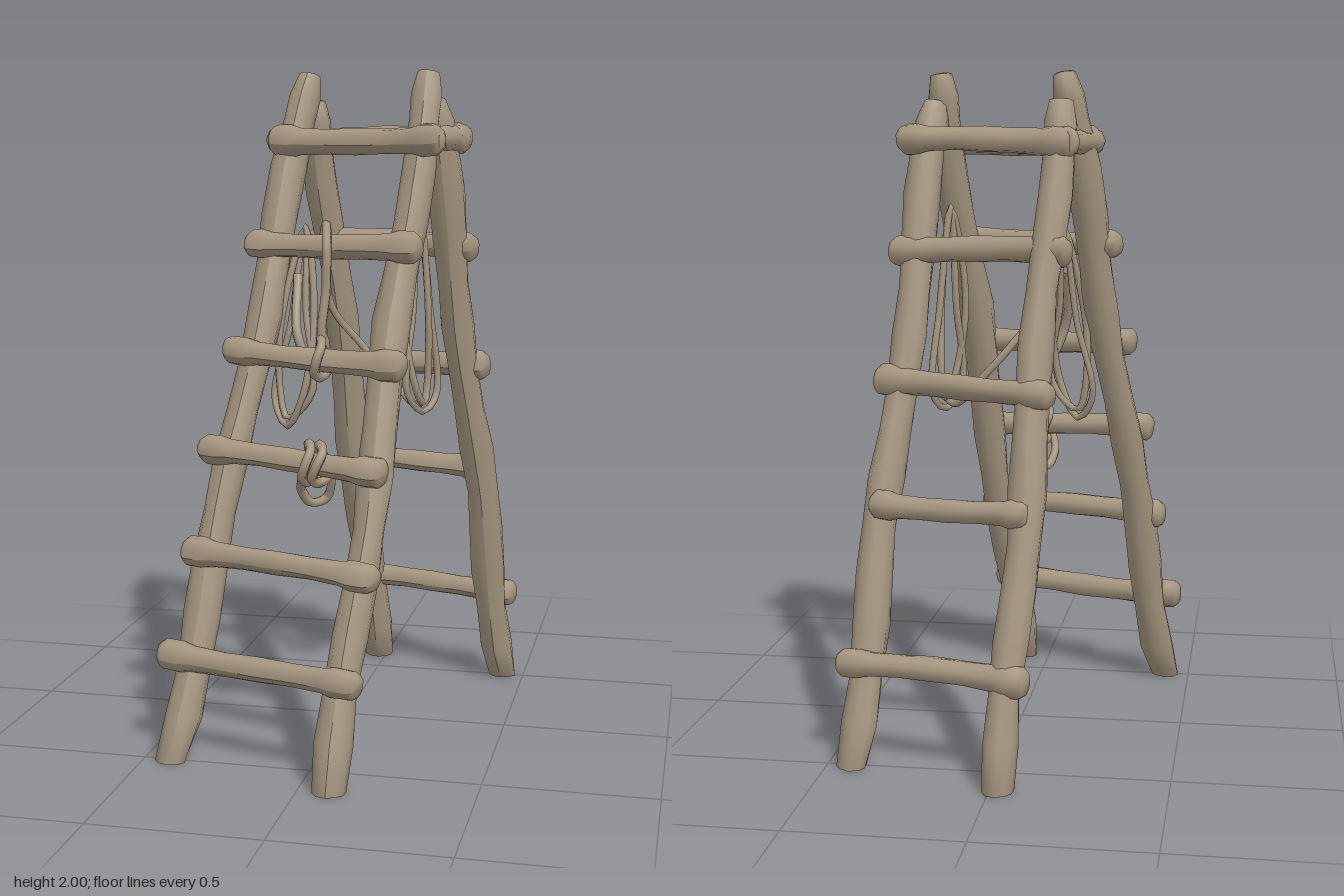
import * as THREE from 'three';

const wood = new THREE.MeshStandardMaterial({ color: 0xa5967f });
const V = (p) => new THREE.Vector3(...p);
const mix = (a, b, t) => a.map((v, i) => v + (b[i] - v) * t);

// Round timber between two points; profile = [position 0..1, radius] pairs, gently bent and uneven
function log(name, a, b, profile, seed, floor = false) {
  const start = V(a), axis = V(b).sub(start), length = axis.length();
  const pts = profile.map(([t, r]) => new THREE.Vector2(r, t * length));
  const geo = new THREE.LatheGeometry(pts, 10);
  const pos = geo.attributes.position;
  for (let i = 0; i < pos.count; i++) {
    const x = pos.getX(i), y = pos.getY(i), z = pos.getZ(i);
    const ang = Math.atan2(z, x);
    const k = 1 + 0.06 * Math.sin(2 * ang + seed + y * 5) + 0.04 * Math.sin(3 * ang - seed * 2 + y * 11);
    const bend = 0.008 * Math.sin(y * 6 + seed * 1.7);
    pos.setXYZ(i, x * k + bend, y, z * k - bend * 0.5);
  }
  geo.applyQuaternion(new THREE.Quaternion().setFromUnitVectors(new THREE.Vector3(0, 1, 0), axis.normalize()));
  geo.translate(...a);
  // Feet are cut level with the floor
  if (floor) for (let i = 0; i < pos.count; i++) pos.setY(i, Math.max(0, pos.getY(i)));
  geo.computeVertexNormals();
  const mesh = new THREE.Mesh(geo, wood);
  mesh.name = name;
  return mesh;
}

function legProfile(r) {
  const list = [[0, 0], [0, r * 0.92]];
  for (let i = 1; i < 14; i++) list.push([i / 14, r * (1 + 0.08 * Math.sin(i * 2.3))]);
  list.push([0.965, r * 0.95], [0.997, r * 0.68], [1, 0]);
  return list;
}

// Rungs swell at the lashed ends
const rungProfile = (r) => [
  [0, 0], [0.004, r * 0.9], [0.03, r * 1.2], [0.11, r * 1.25], [0.17, r * 1.02], [0.33, r * 0.93],
  [0.5, r], [0.67, r * 0.94], [0.83, r * 1.02], [0.89, r * 1.25], [0.97, r * 1.2], [0.996, r * 0.9], [1, 0],
];

function rope(name, points, r = 0.012, closed = false) {
  const curve = new THREE.CatmullRomCurve3(points.map(V), closed);
  const mesh = new THREE.Mesh(new THREE.TubeGeometry(curve, points.length * 7, r, 6, closed), wood);
  mesh.name = name;
  return mesh;
}

// Leg end points: foot and top
const LEGS = {
  frontRightLeg: [[-0.42, -0.02, 0.505], [-0.14, 2, -0.11]],
  frontLeftLeg: [[0.09, -0.02, 0.65], [0.25, 2, 0.0]],
  backRightLeg: [[-0.025, -0.02, -0.645], [-0.135, 1.92, -0.14]],
  backLeftLeg: [[0.43, -0.02, -0.51], [0.26, 1.92, 0.0]],
};

function createModel() {
  const model = new THREE.Group();
  model.name = 'trestleLadder';

  Object.entries(LEGS).forEach(([name, [a, b]], i) =>
    model.add(log(name, a, b, legProfile(0.051), i * 1.9, true)));

  // Front rungs: height, x and z at both ends
  const frontRungs = new THREE.Group();
  frontRungs.name = 'frontRungs';
  [
    [0.30, -0.47, 0.17, 0.43, 0.61],
    [0.59, -0.42, 0.20, 0.34, 0.53],
    [0.88, -0.38, 0.20, 0.27, 0.435],
    [1.17, -0.33, 0.24, 0.17, 0.345],
    [1.49, -0.295, 0.265, 0.06, 0.225],
  ].forEach(([y, x0, x1, z0, z1], i) =>
    frontRungs.add(log('frontRung', [x0, y + 0.005, z0], [x1, y - 0.005, z1], rungProfile(0.037), i + 0.4)));
  model.add(frontRungs);

  // Back rungs
  const backRungs = new THREE.Group();
  backRungs.name = 'backRungs';
  [
    [0.30, -0.10, 0.47, -0.605, -0.455],
    [0.75, -0.09, 0.39, -0.475, -0.345],
    [1.09, -0.145, 0.405, -0.40, -0.225],
    [1.48, -0.175, 0.375, -0.275, -0.115],
  ].forEach(([y, x0, x1, z0, z1], i) =>
    backRungs.add(log('backRung', [x0, y, z0], [x1, y, z1], rungProfile(0.037), i * 1.3 + 2)));
  model.add(backRungs);

  // Top frame clasping the four legs
  const frame = new THREE.Group();
  frame.name = 'topFrame';
  const y = 1.8;
  const corners = [[-0.20, y, 0.0], [0.28, y, 0.14], [0.325, y, -0.075], [-0.145, y, -0.2]];
  corners.forEach((c, i) => {
    const next = corners[(i + 1) % 4];
    const over = i % 2 ? 0.1 : 0.07;
    frame.add(log('topRail', mix(c, next, -over), mix(c, next, 1 + over), rungProfile(0.038), i * 2.1));
  });
  model.add(frame);

  // Rope coils hanging inside the ladder
  const ropes = new THREE.Group();
  ropes.name = 'ropes';
  [0, 1].forEach((i) => {
    const d = i * 0.025;
    ropes.add(rope('rightCoil', [
      [-0.12, 1.54, 0.04], [-0.16 - d, 1.25, 0.07 + d], [-0.21 + d, 1.02 + d, 0.08 + d],
      [-0.16, 0.94 + d, 0.12], [-0.1 + d, 1.05, 0.15], [-0.08 - d, 1.3, 0.1],
    ], 0.011, true));
    ropes.add(rope('leftCoil', [
      [0.22, 1.6, 0.0], [0.21 - d, 1.3, 0.03 + d], [0.2 + d, 1.05, 0.07 - d],
      [0.24, 0.98 + d, 0.0], [0.27 - d, 1.03 + d, -0.05 + d], [0.25, 1.3, -0.03 + d],
    ], 0.011, true));
  });
  ropes.add(rope('slackRope', [
    [-0.05, 1.5, 0.07], [-0.05, 1.3, 0.0], [0.03, 1.18, -0.05], [0.12, 1.08, -0.06], [0.2, 1.0, -0.03], [0.24, 1.01, 0.02],
  ]));
  ropes.add(rope('hangingRope', [
    [-0.06, 1.46, 0.08], [-0.04, 1.55, 0.11], [-0.02, 1.5, 0.19], [-0.02, 1.36, 0.2],
    [-0.03, 1.24, 0.21], [-0.02, 1.2, 0.2], [-0.06, 1.12, 0.17], [-0.11, 1.22, 0.18], [-0.13, 1.4, 0.1],
  ], 0.015));
  // Knots tied around two rungs
  const knot = (cx, cy, cz, w) => rope('rungKnot', [0, 1, 2, 3, 4, 5, 6, 7].map((k) => {
    const a = k * Math.PI / 4;
    return [cx + w * Math.sin(a * 2), cy + 0.055 * Math.sin(a), cz + 0.055 * Math.cos(a)];
  }), 0.015, true);
  ropes.add(knot(-0.02, 1.17, 0.265, 0.01), knot(-0.03, 0.88, 0.37, 0.012), knot(0.005, 0.88, 0.38, 0.015));
  ropes.add(rope('knotTail', [
    [-0.01, 0.92, 0.33], [0.02, 0.84, 0.31], [0.0, 0.76, 0.28], [-0.04, 0.75, 0.31], [-0.06, 0.8, 0.35], [-0.03, 0.86, 0.42],
  ], 0.014));
  model.add(ropes);

  return model;
}

export { createModel };
